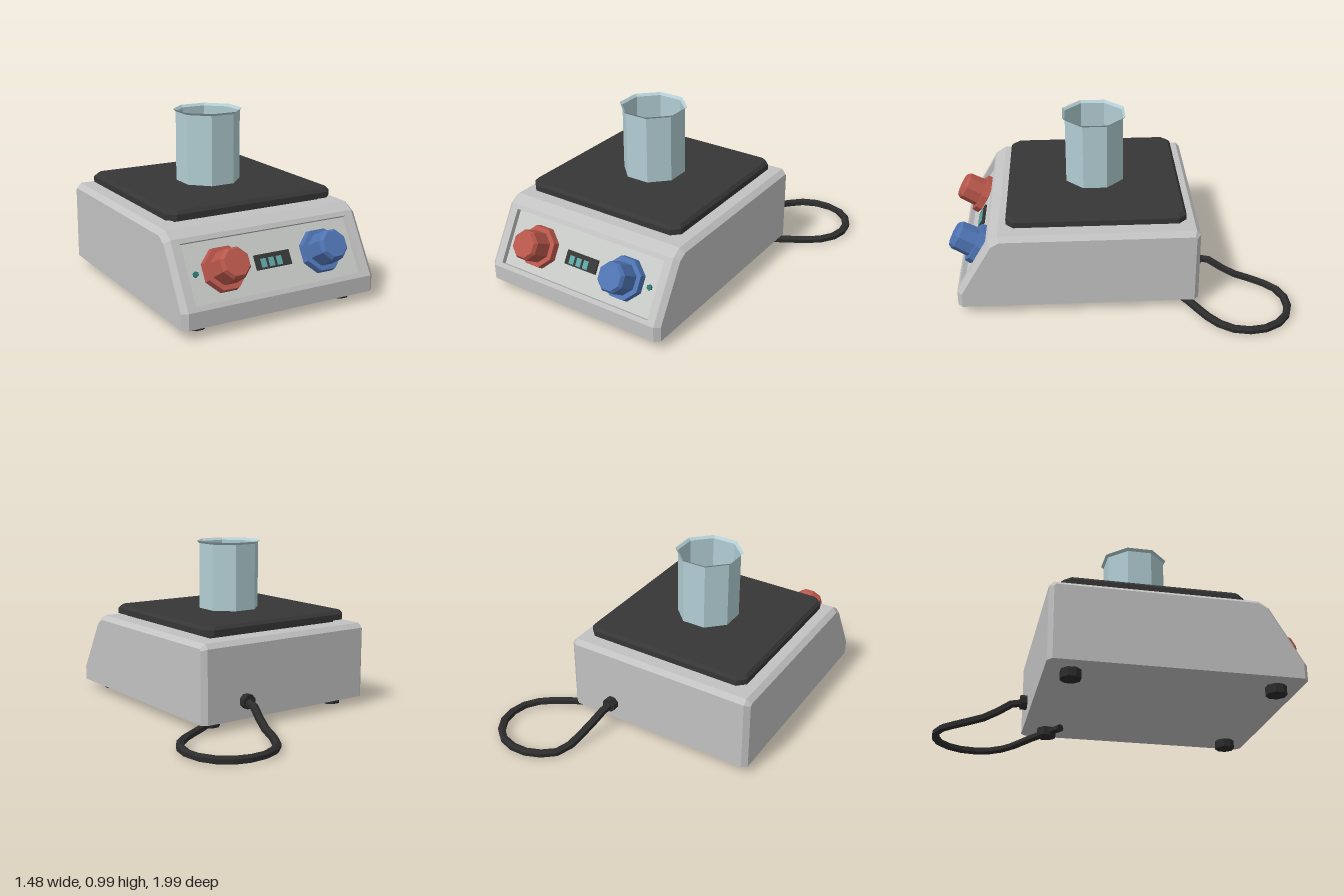
import * as THREE from 'three';

const mat = (name, color, side = THREE.FrontSide) =>
  new THREE.MeshStandardMaterial({ name, color, side, flatShading: true });

// Skin a series of matching rings; optionally leave out some quads; convex end caps
function loft(rings, skip = () => false) {
  const pos = [];
  const tri = (...p) => p.forEach(v => pos.push(...v));
  const n = rings[0].length;
  for (let k = 0; k < rings.length - 1; k++) {
    for (let i = 0; i < n; i++) {
      if (skip(k, i)) continue;
      const j = (i + 1) % n, a = rings[k], b = rings[k + 1];
      tri(a[i], a[j], b[j]);
      tri(a[i], b[j], b[i]);
    }
  }
  const first = rings[0], last = rings[rings.length - 1];
  for (let i = 1; i < n - 1; i++) {
    tri(first[0], first[i + 1], first[i]);
    tri(last[0], last[i], last[i + 1]);
  }
  const g = new THREE.BufferGeometry();
  g.setAttribute('position', new THREE.Float32BufferAttribute(pos, 3));
  g.computeVertexNormals();
  return g;
}

// Square ring with clipped corners at height y
function clippedSquare(h, c, y) {
  const e = h - c;
  return [[-e, h], [e, h], [h, e], [h, -e], [e, -h], [-e, -h], [-h, -e], [-h, e]].map(([x, z]) => [x, y, z]);
}

// Eight-sided turned part with flats facing the axes
const turned = pts =>
  new THREE.LatheGeometry(pts.map(p => new THREE.Vector2(...p)), 8, Math.PI / 8);

export function createModel() {
  const housing = mat('housing grey', 0xc2c2c2);
  const panelMat = mat('panel grey', 0xc8cbc7);
  const dark = mat('dark plate', 0x363636);
  const rubber = mat('black rubber', 0x2c2c2c, THREE.DoubleSide);
  const red = mat('red knob', 0xb9574b);
  const blue = mat('blue knob', 0x4f74b3);
  const glass = mat('pale glass', 0xb2ced4, THREE.DoubleSide);
  const teal = mat('teal liquid', 0x4f9893);
  const lamp = mat('lamp teal', 0x2b7773);
  const digitMat = mat('display teal', 0x5fa5a5);

  const model = new THREE.Group();
  const add = (name, geo, material, x = 0, y = 0, z = 0, parent = model) => {
    const m = new THREE.Mesh(geo, material);
    m.name = name;
    m.position.set(x, y, z);
    parent.add(m);
    return m;
  };
  const cx = -0.1525, cz = 0.13;

  // Housing: side profile (z, y) with chamfered sides, sloped face left open for the panel
  const full = [[-0.435, 0.503], [0.69, 0.503], [0.75, 0.466], [0.94, 0.14], [0.94, 0.05], [-0.46, 0.05], [-0.46, 0.475]];
  const inset = [[-0.425, 0.476], [0.68, 0.476], [0.73, 0.447], [0.913, 0.135], [0.913, 0.05], [-0.435, 0.05], [-0.435, 0.465]];
  const section = (prof, x) => prof.map(([z, y]) => [x, y, z]);
  add('housing', loft(
    [section(inset, -0.745), section(full, -0.715), section(full, 0.41), section(inset, 0.44)],
    (k, i) => k === 1 && i === 2), housing);

  // Sloped control panel
  const panel = new THREE.Group();
  panel.name = 'controlPanel';
  panel.position.set(cx, 0.303, 0.845);
  panel.rotation.x = -Math.atan2(0.19, 0.326);
  model.add(panel);

  const rect = (path, w, h) => path.moveTo(-w, -h).lineTo(w, -h).lineTo(w, h).lineTo(-w, h).closePath();
  const frame = rect(new THREE.Shape(), 0.5625, 0.1887);
  frame.holes.push(rect(new THREE.Path(), 0.515, 0.162));
  const floor = -0.03;
  add('panelFrame', new THREE.ExtrudeGeometry(frame, { depth: 0.03, bevelEnabled: false }), housing, 0, 0, floor, panel);
  add('panelFace', new THREE.PlaneGeometry(1.03, 0.324), panelMat, 0, 0, floor, panel);

  // Knobs and indicator lamps on both sides of the display
  const knobGeo = turned([[0.125, 0], [0.12, 0.04], [0.092, 0.04], [0.087, 0.145], [0.073, 0.165], [0, 0.165]]).rotateX(Math.PI / 2);
  const lampGeo = new THREE.CylinderGeometry(0.016, 0.016, 0.012, 6).rotateX(Math.PI / 2);
  for (const [side, s, material] of [['right', -1, red], ['left', 1, blue]]) {
    add(side + 'Knob', knobGeo, material, s * 0.3, 0, floor, panel);
    add(side + 'Lamp', lampGeo, lamp, s * 0.46, 0, floor + 0.006, panel);
  }

  // Display with three lit cells
  add('displayWindow', new THREE.BoxGeometry(0.215, 0.08, 0.012), dark, 0, 0, floor + 0.006, panel);
  for (let i = 0; i < 3; i++) {
    add('displayCell', new THREE.BoxGeometry(0.032, 0.048, 0.004), digitMat, -0.062 + i * 0.048, -0.008, floor + 0.014, panel);
  }

  // Hot plate on its neck
  add('plateNeck', new THREE.BoxGeometry(0.91, 0.03, 0.91), dark, cx, 0.515, cz);
  add('topPlate', loft([
    clippedSquare(0.515, 0.045, 0.525),
    clippedSquare(0.515, 0.045, 0.558),
    clippedSquare(0.498, 0.04, 0.577),
  ]), dark, cx, 0, cz);

  // Beaker with flared rim, and the swirling liquid inside
  add('beaker', turned([[0, 0.58], [0.184, 0.58], [0.184, 0.978], [0.199, 0.992]]), glass, -0.15, 0, 0.125);
  add('liquid', turned([[0.182, 0.75], [0.07, 0.72], [0, 0.665]]), teal, -0.15, 0, 0.125);

  // Feet
  for (const sx of [-1, 1]) {
    for (const sz of [-1, 1]) {
      add('foot', turned([[0, 0], [0.058, 0], [0.058, 0.051]]), rubber, cx + sx * 0.453, 0, 0.24 + sz * 0.56);
    }
  }

  // Power cord looping on the ground behind and ending beneath the housing
  add('cordCollar', new THREE.CylinderGeometry(0.043, 0.043, 0.05, 8, 1, false, Math.PI / 8).rotateX(Math.PI / 2), rubber, 0.155, 0.155, -0.475);
  const cordPoints = [
    [0.155, 0.155, -0.46], [0.16, 0.15, -0.53], [0.2, 0.07, -0.68], [0.24, 0.024, -0.85],
    [0.34, 0.024, -0.945], [0.46, 0.024, -0.975], [0.59, 0.024, -0.945], [0.685, 0.024, -0.85],
    [0.717, 0.024, -0.73], [0.685, 0.024, -0.6], [0.59, 0.024, -0.505], [0.42, 0.024, -0.405], [0.19, 0.024, -0.25],
  ].map(p => new THREE.Vector3(...p));
  const curve = new THREE.CatmullRomCurve3(cordPoints, false, 'centripetal');
  add('powerCord', new THREE.TubeGeometry(curve, 20, 0.024, 6), rubber);
  const end = cordPoints[cordPoints.length - 1];
  const tip = add('cordEnd', new THREE.CircleGeometry(0.024, 6), rubber, end.x, end.y, end.z);
  tip.lookAt(end.clone().add(curve.getTangent(1)));

  return model;
}
